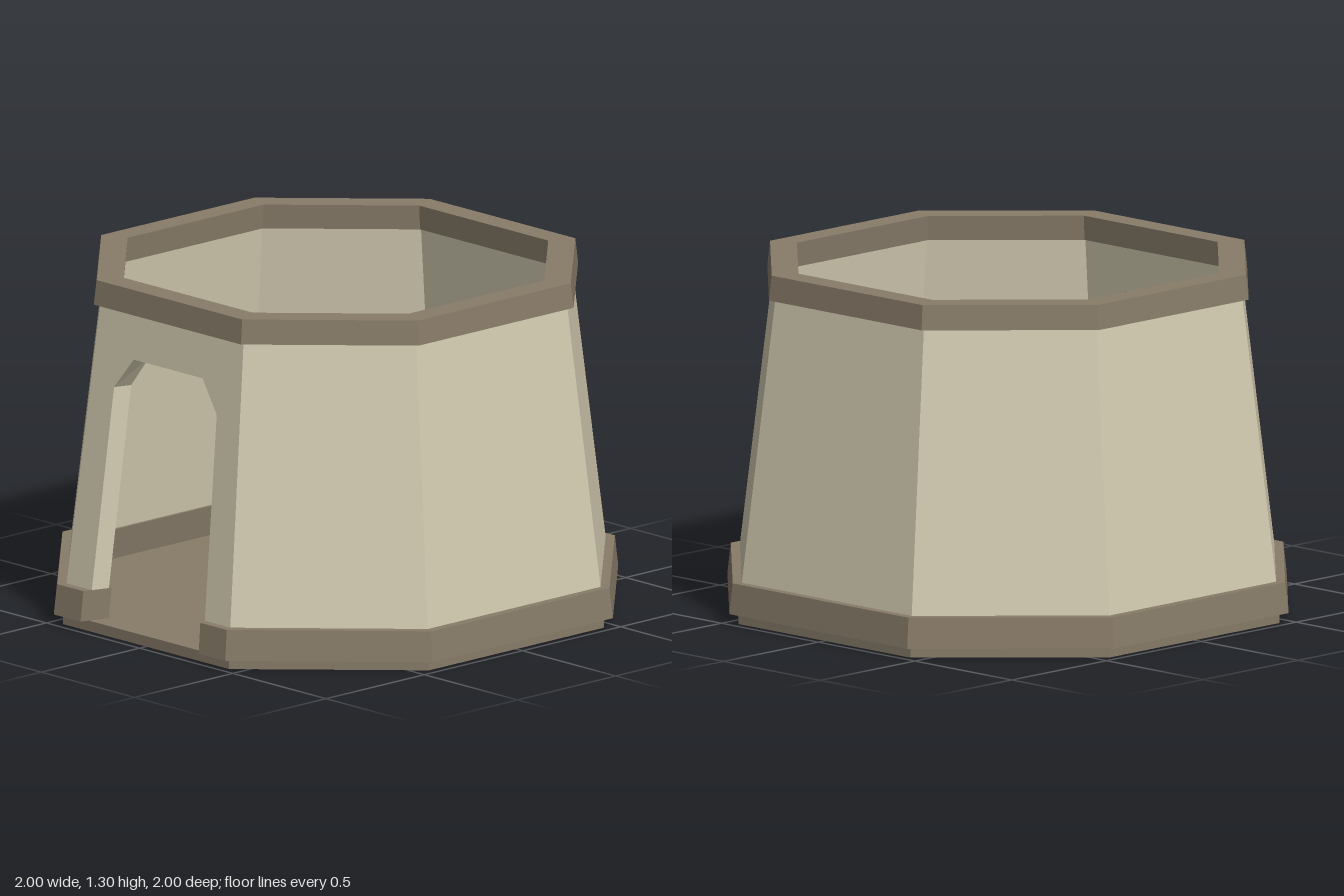
import * as THREE from 'three';
import { mergeGeometries } from 'three/addons/utils/BufferGeometryUtils.js';

// Unit plan of the eight-sided tower, starting with the front side
const C = 0.46;
const PLAN = [[-C, 1], [C, 1], [1, C], [1, -C], [C, -1], [-C, -1], [-1, -C], [-1, C]];
const lerp = THREE.MathUtils.lerp;

function polygon(points) {
  return new THREE.Shape(points.map(([x, y]) => new THREE.Vector2(x, y)));
}

// Bend a flat outline (t from -1 to 1 along the side, y up) onto one side of the tower.
// outer and inner hold the radius at the bottom and top of the band.
function sidePanel(shapes, side, y0, y1, outer, inner) {
  const geo = new THREE.ExtrudeGeometry(shapes, { depth: 1, bevelEnabled: false });
  const a = PLAN[side], b = PLAN[(side + 1) % 8];
  const pos = geo.attributes.position;
  for (let i = 0; i < pos.count; i++) {
    const s = (pos.getX(i) + 1) / 2, y = pos.getY(i), f = (y - y0) / (y1 - y0);
    const r = lerp(lerp(inner[0], inner[1], f), lerp(outer[0], outer[1], f), pos.getZ(i));
    pos.setXYZ(i, lerp(a[0], b[0], s) * r, y, lerp(a[1], b[1], s) * r);
  }
  geo.computeVertexNormals();
  return geo;
}

// Eight-sided band; the front side may have its own outline
function band(y0, y1, outer, inner, front) {
  const box = (t0, t1) => polygon([[t0, y0], [t1, y0], [t1, y1], [t0, y1]]);
  const sides = PLAN.map((_, k) =>
    sidePanel(k === 0 && front ? front(box) : [box(-1, 1)], k, y0, y1, outer, inner));
  return mergeGeometries(sides);
}

export function createModel() {
  const group = new THREE.Group();
  const plaster = new THREE.MeshStandardMaterial({ color: 0xd4ccb2 });
  plaster.name = 'pale plaster';
  const stone = new THREE.MeshStandardMaterial({ color: 0x887c69 });
  stone.name = 'brown stone';

  const add = (name, geo, mat) => {
    const mesh = new THREE.Mesh(geo, mat);
    mesh.name = name;
    group.add(mesh);
    return mesh;
  };

  // Doorway half widths along the front side
  const door = 0.317 / C, doorTop = 0.216 / C;

  // Floor slab
  const slab = new THREE.ExtrudeGeometry(
    polygon(PLAN.map(([x, z]) => [x * 0.967, z * 0.967])), { depth: 0.04, bevelEnabled: false });
  slab.rotateX(-Math.PI / 2);
  add('floor', slab, stone);

  // Plinth, interrupted by the doorway
  add('plinth', band(0.04, 0.155, [1, 0.988], [0.89, 0.877],
    (box) => [box(-1, -door), box(door, 1)]), stone);

  // Tapering walls with the chamfered doorway
  add('walls', band(0.15, 1.25, [0.956, 0.831], [0.889, 0.764], () => [polygon([
    [-1, 0.15], [-door, 0.15], [-door, 0.92], [-doorTop, 1.04],
    [doorTop, 1.04], [door, 0.92], [door, 0.15], [1, 0.15], [1, 1.25], [-1, 1.25],
  ])]), plaster);

  // Rim on top of the walls
  add('rim', band(1.21, 1.303, [0.858, 0.848], [0.76, 0.752]), stone);

  return group;
}
